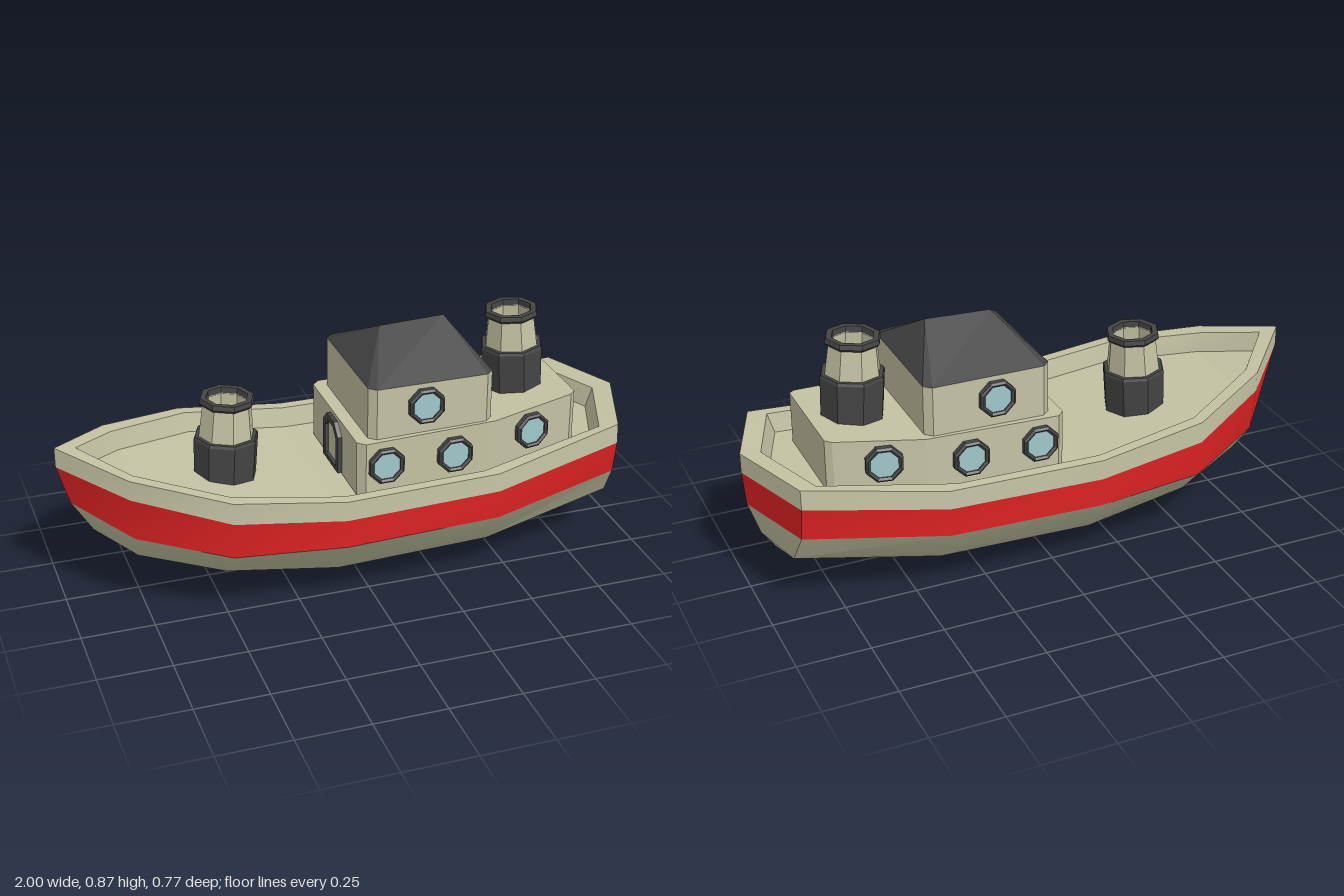
import * as THREE from 'three';
import { toCreasedNormals } from 'three/addons/utils/BufferGeometryUtils.js';

const paint = (color, flatShading = true) =>
  new THREE.MeshStandardMaterial({ color, flatShading, side: THREE.DoubleSide });
const CREAM = 0xc4c2a3, DARK = 0x444444, RED = 0xdd2222, GLASS = 0xa0c8cc;

function add(parent, name, geometry, color, flat = true) {
  const mesh = new THREE.Mesh(geometry, paint(color, flat));
  mesh.name = name;
  parent.add(mesh);
  return mesh;
}

// Mirror the +z half of an outline (bow to stern) into a closed ring
const ring = half => [...half, ...half.slice(1, -1).reverse().map(([x, y, z]) => [x, y, -z])];

// Skin a stack of closed rings, skipping collapsed triangles
function skin(rings) {
  const pos = [], v = p => new THREE.Vector3(...p);
  const tri = (a, b, c) => {
    const n = v(b).sub(v(a)).cross(v(c).sub(v(a)));
    if (n.length() > 1e-7) pos.push(...a, ...b, ...c);
  };
  for (let r = 0; r + 1 < rings.length; r++) {
    const lo = rings[r], up = rings[r + 1], n = lo.length;
    for (let i = 0; i < n; i++) {
      const j = (i + 1) % n;
      tri(lo[i], lo[j], up[j]);
      tri(lo[i], up[j], up[i]);
    }
  }
  const g = new THREE.BufferGeometry();
  g.setAttribute('position', new THREE.Float32BufferAttribute(pos, 3));
  g.computeVertexNormals();
  return g;
}
const smoothSkin = rings => toCreasedNormals(skin(rings), 0.6);
const flatten = half => half.map(([x, y]) => [x, y, 0]);

function buildHull(parent) {
  const keel = [[-0.74, 0.15, 0], [-0.74, 0.15, 0], [-0.5, 0.05, 0], [-0.12, 0, 0], [0.42, 0.03, 0], [0.9, 0.13, 0], [0.9, 0.13, 0]];
  const chine = [[-0.89, 0.255, 0], [-0.77, 0.205, 0.13], [-0.5, 0.16, 0.25], [-0.12, 0.12, 0.285], [0.42, 0.13, 0.275], [0.9, 0.2, 0.2], [0.95, 0.2, 0]];
  const bandLow = [[-0.96, 0.37, 0], [-0.79, 0.31, 0.2], [-0.5, 0.27, 0.355], [-0.12, 0.255, 0.385], [0.42, 0.265, 0.375], [0.89, 0.31, 0.27], [0.99, 0.32, 0]];
  const bandTop = [[-1, 0.51, 0], [-0.8, 0.46, 0.21], [-0.5, 0.4, 0.367], [-0.12, 0.355, 0.386], [0.42, 0.365, 0.376], [0.89, 0.43, 0.293], [1, 0.44, 0]];
  const rail = [[-1, 0.58, 0], [-0.8, 0.53, 0.21], [-0.5, 0.475, 0.365], [-0.12, 0.425, 0.385], [0.42, 0.43, 0.372], [0.89, 0.5, 0.29], [1, 0.51, 0]];
  const lip = [[-0.93, 0.57, 0], [-0.78, 0.525, 0.165], [-0.49, 0.475, 0.322], [-0.12, 0.425, 0.345], [0.38, 0.43, 0.335], [0.83, 0.49, 0.265], [0.93, 0.5, 0]];
  const deck = lip.map(([x, y, z]) => [x * 0.975, y - 0.07, z * 0.96]);

  add(parent, 'lowerHull', smoothSkin([keel, chine, bandLow].map(ring)), CREAM, false);
  add(parent, 'hullBand', smoothSkin([bandLow, bandTop].map(ring)), RED, false);
  add(parent, 'bulwark', smoothSkin([bandTop, rail, lip, deck].map(ring)), CREAM, false);
  add(parent, 'deck', skin([deck, flatten(deck)].map(ring)), CREAM);
}

// Plan outline (x, z) raised from a flat base to a sloping top, closed above
function block(plan, base, topAt) {
  const low = plan.map(([x, z]) => [x, base, z]);
  const high = plan.map(([x, z]) => [x, topAt(x), z]);
  return skin([low, high, flatten(high)].map(ring));
}

function buildCabins(parent) {
  const lowerPlan = [[-0.04, 0], [-0.04, 0.235], [-0.015, 0.26], [0.45, 0.25], [0.75, 0.198], [0.77, 0.18], [0.77, 0]];
  add(parent, 'lowerCabin', block(lowerPlan, 0.36, x => x < 0.45 ? 0.556 + x * 0.02 : 0.565 + (x - 0.45) * 0.1), CREAM);

  const upperPlan = [[0.005, 0], [0.005, 0.215], [0.03, 0.238], [0.42, 0.238], [0.445, 0.215], [0.445, 0]];
  add(parent, 'upperCabin', block(upperPlan, 0.5, () => 0.738), CREAM);

  // Hipped roof closing on a short ridge
  const eaves = upperPlan.map(([x, z]) => [x, 0.738, z]);
  const ridge = upperPlan.map(([x]) => x < 0.2 ? [0.12, 0.857, 0] : [0.35, 0.866, 0]);
  add(parent, 'roof', skin([eaves, ridge].map(ring)), DARK);
}

// Octagonal framed window, mirrored onto both sides
function addPortholes(parent, x, y, z, yaw) {
  for (const side of [1, -1]) {
    const porthole = new THREE.Group();
    porthole.name = 'porthole';
    const frame = new THREE.LatheGeometry([[0.05, -0.015], [0.066, -0.015], [0.066, 0.012], [0.058, 0.018], [0.05, 0.012], [0.05, -0.015]]
      .map(p => new THREE.Vector2(...p)), 8);
    const glass = new THREE.CylinderGeometry(0.052, 0.052, 0.015, 8);
    for (const g of [frame, glass]) g.rotateY(Math.PI / 8).rotateX(Math.PI / 2);
    add(porthole, 'windowFrame', frame, DARK);
    add(porthole, 'windowGlass', glass, GLASS);
    porthole.position.set(x, y, z * side);
    porthole.rotation.y = side > 0 ? yaw : Math.PI - yaw;
    parent.add(porthole);
  }
}

// Door with cut corners on the bow-facing cabin wall
function buildDoor(parent) {
  const outline = (w, bottom, top, cut) => [[-w, bottom], [w, bottom], [w, top - cut], [w - cut, top], [cut - w, top], [-w, top - cut]]
    .map(p => new THREE.Vector2(...p));
  const shape = new THREE.Shape(outline(0.08, 0.365, 0.54, 0.04));
  shape.holes.push(new THREE.Path(outline(0.056, 0.38, 0.518, 0.03)));
  const door = new THREE.Group();
  door.name = 'door';
  add(door, 'doorFrame', new THREE.ExtrudeGeometry(shape, { depth: 0.018, bevelEnabled: false }), DARK);
  const panel = new THREE.ExtrudeGeometry(new THREE.Shape(outline(0.058, 0.375, 0.52, 0.03)), { depth: 0.006, bevelEnabled: false });
  add(door, 'doorPanel', panel, CREAM);
  door.position.x = -0.037;
  door.rotation.y = -Math.PI / 2;
  parent.add(door);
}

// Eight-sided hollow funnel: dark base, tapering pipe and dark rim
function addFunnel(parent, name, x, base, collar, top, tilt, floorColor) {
  const funnel = new THREE.Group();
  funnel.name = name;
  const lathe = (part, profile, color) =>
    add(funnel, part, new THREE.LatheGeometry(profile.map(p => new THREE.Vector2(...p)), 8), color);
  const c = collar - base, t = top - base;
  lathe('funnelBase', [[0.108, 0], [0.112, c - 0.01], [0.108, c], [0.07, c]], DARK);
  lathe('funnelPipe', [[0.095, c], [0.083, t - 0.02], [0.07, t - 0.02], [0.075, c]], CREAM);
  lathe('funnelRim', [[0.07, t - 0.024], [0.09, t - 0.024], [0.096, t - 0.016], [0.092, t], [0.072, t], [0.07, t - 0.024]], DARK);
  lathe('funnelFloor', [[0.078, c + 0.004], [0, c + 0.004]], floorColor);
  funnel.position.set(x, base, 0);
  funnel.rotation.z = tilt;
  parent.add(funnel);
}

export function createModel() {
  const boat = new THREE.Group();
  boat.name = 'boat';
  buildHull(boat);
  buildCabins(boat);
  buildDoor(boat);
  addPortholes(boat, 0.055, 0.47, 0.262, 0.02);
  addPortholes(boat, 0.3, 0.47, 0.26, 0.02);
  addPortholes(boat, 0.59, 0.5, 0.232, 0.17);
  addPortholes(boat, 0.2, 0.66, 0.244, 0);
  addFunnel(boat, 'foreFunnel', -0.43, 0.38, 0.54, 0.678, -0.05, DARK);
  addFunnel(boat, 'aftFunnel', 0.615, 0.54, 0.73, 0.858, 0.05, CREAM);
  return boat;
}
